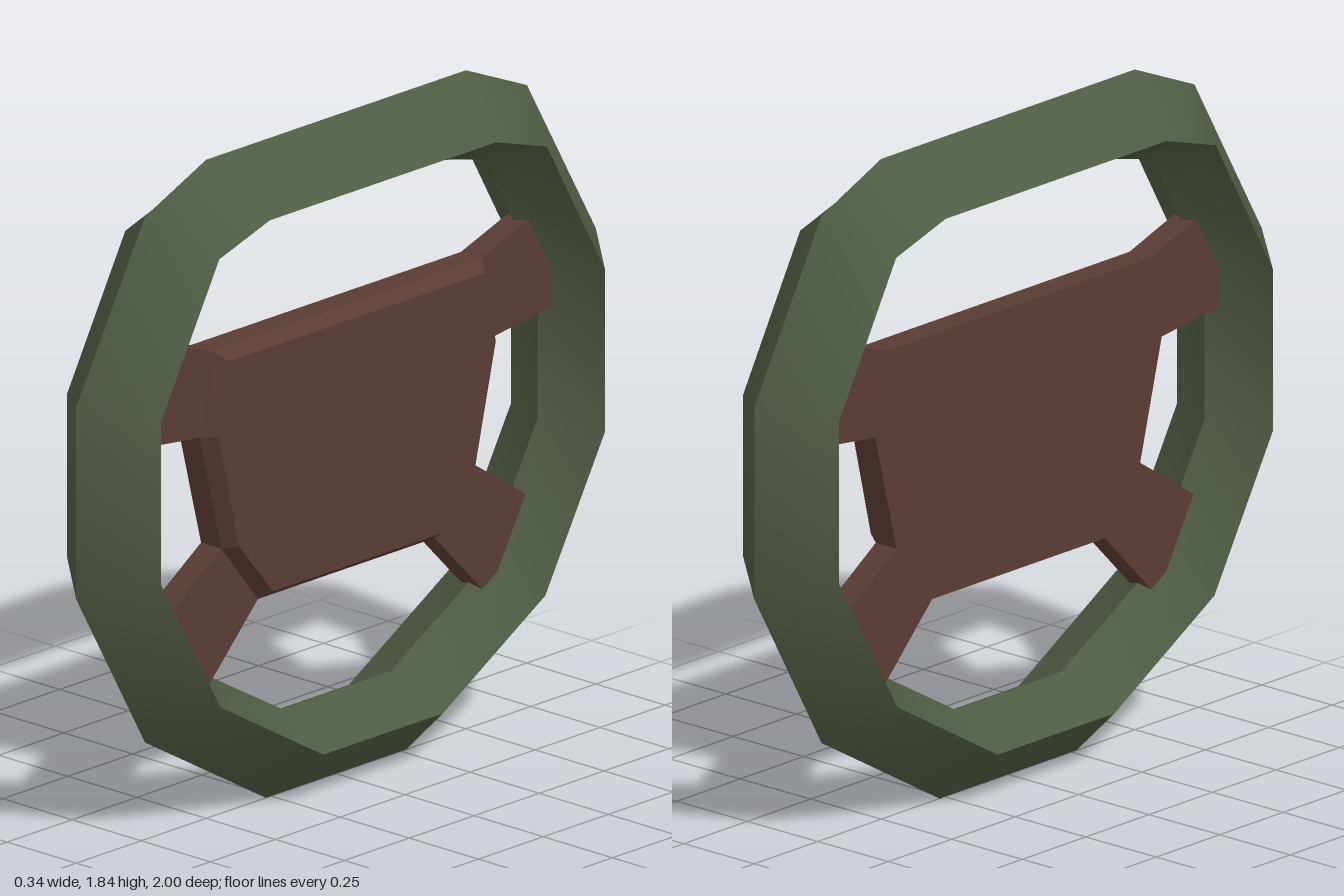
import * as THREE from 'three';

const rimGreen = new THREE.MeshStandardMaterial({ color: 0x4f5b43 });
rimGreen.name = 'rim green';
const hubBrown = new THREE.MeshStandardMaterial({ color: 0x5a3c34 });
hubBrown.name = 'hub brown';

// Outlines are [z, y] points, counter-clockwise as seen from +x.
const flip = (pts) => pts.map(([z, y]) => [-z, y]).reverse();
const symmetric = (half) => [...half, ...flip(half)];

// Join outlines placed at successive x positions into a surface.
function loft(layers, { closed = false, smooth = false } = {}) {
  const n = layers[0].pts.length;
  const pos = [];
  const index = [];
  for (const { x, pts } of layers) for (const [z, y] of pts) pos.push(x, y, z);
  for (let l = 0; l < layers.length - 1; l++) {
    for (let i = 0; i < n; i++) {
      const j = (i + 1) % n;
      const a = l * n + i, b = l * n + j, c = b + n, d = a + n;
      index.push(a, b, c, a, c, d);
    }
  }
  if (closed) {
    const top = (layers.length - 1) * n;
    for (let i = 1; i < n - 1; i++) {
      index.push(0, i + 1, i, top, top + i, top + i + 1);
    }
  }
  let geo = new THREE.BufferGeometry();
  geo.setAttribute('position', new THREE.Float32BufferAttribute(pos, 3));
  geo.setIndex(index);
  if (!smooth) geo = geo.toNonIndexed();
  geo.computeVertexNormals();
  return geo;
}

function add(parent, name, geo, material) {
  const mesh = new THREE.Mesh(geo, material);
  mesh.name = name;
  parent.add(mesh);
}

export function createModel() {
  const model = new THREE.Group();
  model.name = 'steeringWheel';

  // Rim: diamond section, smooth around the loop and sharp at the ridges
  const outer = symmetric([[0.5, 1.835], [0.735, 1.735], [1, 1.27], [1, 0.735], [0.735, 0.27], [0.27, 0]]);
  const ridge = symmetric([[0.435, 1.69], [0.63, 1.63], [0.855, 1.23], [0.855, 0.78], [0.625, 0.38], [0.23, 0.15]]);
  const inner = symmetric([[0.4, 1.61], [0.57, 1.57], [0.775, 1.21], [0.775, 0.795], [0.57, 0.44], [0.21, 0.233]]);
  const section = [
    { x: -0.17, pts: ridge },
    { x: 0, pts: outer },
    { x: 0.17, pts: ridge },
    { x: 0, pts: inner },
    { x: -0.17, pts: ridge },
  ];
  const rim = new THREE.Group();
  rim.name = 'rim';
  ['outerBack', 'outerFront', 'innerFront', 'innerBack'].forEach((side, i) =>
    add(rim, side + 'Rim', loft([section[i], section[i + 1]], { smooth: true }), rimGreen));
  model.add(rim);

  // Centre pad with a bevelled face
  const edge = symmetric([[0.52, 1.315], [0.565, 1.085], [0.48, 0.755], [0.34, 0.58]]);
  const face = symmetric([[0.49, 1.29], [0.533, 1.09], [0.455, 0.765], [0.325, 0.607]]);
  add(model, 'centrePad', loft([
    { x: -0.037, pts: edge },
    { x: 0.037, pts: edge },
    { x: 0.077, pts: face },
  ], { closed: true }), hubBrown);

  // Spokes, running into the rim
  const spokes = {
    upperSpoke: [[0.52, 1.315], [0.74, 1.39], [0.82, 1.25], [0.82, 1.115], [0.565, 1.085]],
    lowerSpoke: [[0.48, 0.755], [0.73, 0.59], [0.555, 0.36], [0.34, 0.58]],
  };
  for (const [name, pts] of Object.entries(spokes)) {
    for (const [side, outline] of [['Front', pts], ['Back', flip(pts)]]) {
      add(model, name + side, loft([
        { x: -0.037, pts: outline },
        { x: 0.037, pts: outline },
      ], { closed: true }), hubBrown);
    }
  }
  return model;
}
